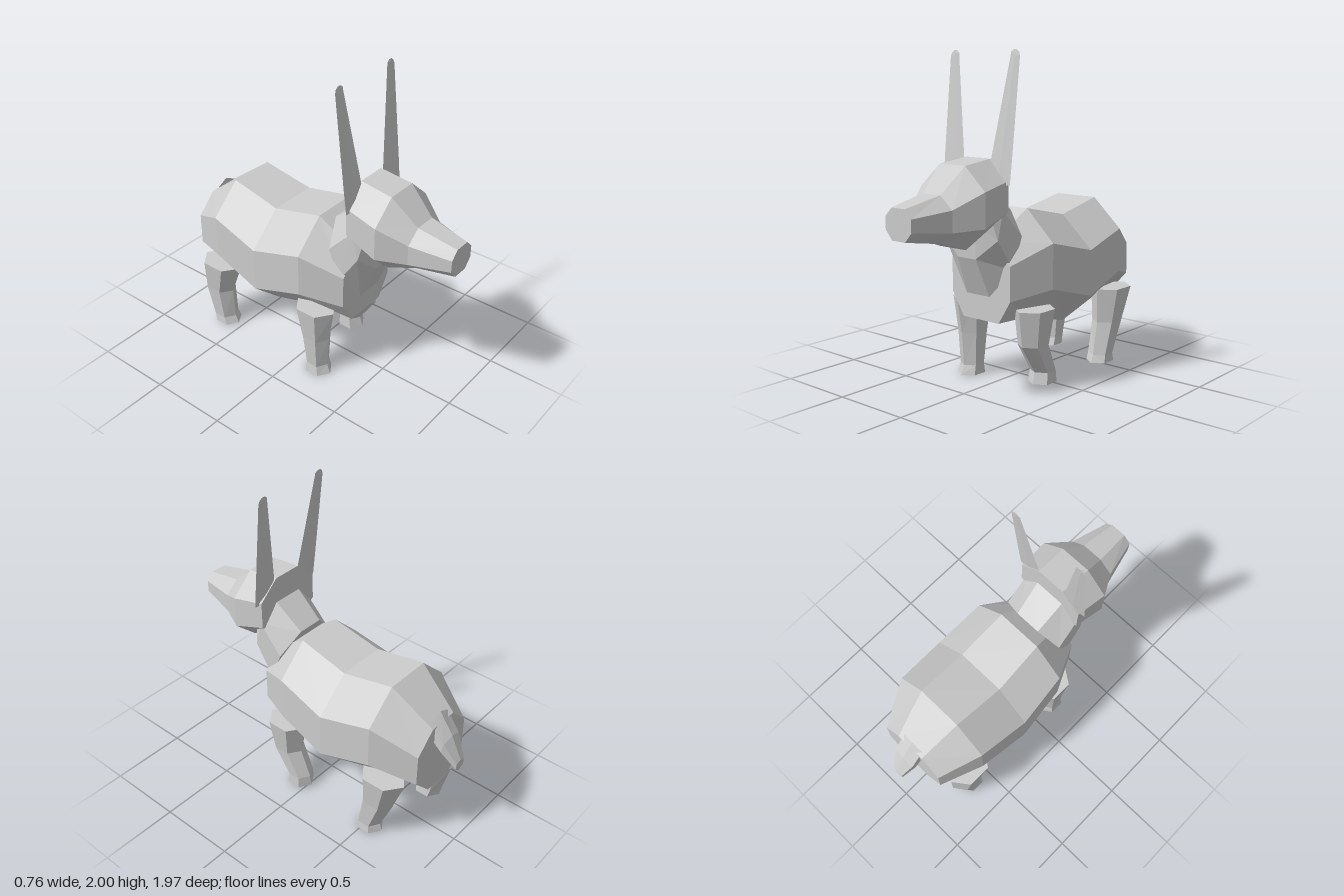
import * as THREE from 'three';

const hide = new THREE.MeshStandardMaterial({ color: 0xcccccc, flatShading: true });
hide.name = 'light grey hide';

// Closed skin over a list of rings (each a loop of [x, y, z]), capped at both ends
function loft(name, rings) {
  const tris = [];
  const n = rings[0].length;
  for (let r = 0; r < rings.length - 1; r++) {
    for (let i = 0; i < n; i++) {
      const j = (i + 1) % n;
      const a = rings[r][i], b = rings[r][j], c = rings[r + 1][j], d = rings[r + 1][i];
      tris.push([a, b, c], [a, c, d]);
    }
  }
  const first = rings[0], last = rings[rings.length - 1];
  for (let i = 1; i < n - 1; i++) {
    tris.push([first[0], first[i + 1], first[i]], [last[0], last[i], last[i + 1]]);
  }
  // Turn all faces outward if the enclosed volume comes out negative
  const v = (p) => new THREE.Vector3(...p);
  const volume = tris.reduce((s, [a, b, c]) => s + v(a).dot(v(b).cross(v(c))), 0);
  if (volume < 0) tris.forEach((t) => t.reverse());
  const geometry = new THREE.BufferGeometry();
  geometry.setAttribute('position', new THREE.Float32BufferAttribute(tris.flat(2), 3));
  geometry.computeVertexNormals();
  const mesh = new THREE.Mesh(geometry, hide);
  mesh.name = name;
  return mesh;
}

// Eight-sided symmetric ring; the plane leans from z at the top to zb at the bottom
function octagon({ z, zb = z, y, w }) {
  const [top, upper, lower, bottom] = y;
  const [wTop, wSide, wBottom] = w;
  const at = (x, h) => [x, h, z + (zb - z) * (top - h) / (top - bottom)];
  return [
    at(wTop, top), at(wSide, upper), at(wSide, lower), at(wBottom, bottom),
    at(-wBottom, bottom), at(-wSide, lower), at(-wSide, upper), at(-wTop, top),
  ];
}

// Six-sided horizontal ring with points at front and back
function legRing([y, zFront, zBack, xIn, xOut], side) {
  const zm = (zFront + zBack) / 2, h = (zFront - zBack) / 4, xm = (xIn + xOut) / 2;
  return [
    [xm, y, zFront], [xOut, y, zm + h], [xOut, y, zm - h],
    [xm, y, zBack], [xIn, y, zm - h], [xIn, y, zm + h],
  ].map(([x, a, b]) => [x * side, a, b]);
}

export function createModel() {
  const model = new THREE.Group();
  model.name = 'animal';

  // Barrel body with a sagging back
  model.add(loft('body', [
    { z: 0.347, y: [0.9, 0.77, 0.56, 0.417], w: [0.11, 0.23, 0.14] },
    { z: 0.1, y: [1.075, 0.885, 0.61, 0.41], w: [0.15, 0.35, 0.15] },
    { z: -0.235, y: [1.0, 0.8, 0.515, 0.32], w: [0.16, 0.378, 0.16] },
    { z: -0.58, y: [1.07, 0.885, 0.61, 0.41], w: [0.15, 0.35, 0.15] },
    { z: -0.845, y: [0.87, 0.74, 0.535, 0.4], w: [0.1, 0.23, 0.1] },
  ].map(octagon)));

  // Leaning neck
  model.add(loft('neck', [
    { z: 0.175, zb: 0.37, y: [1.07, 0.93, 0.74, 0.575], w: [0.085, 0.22, 0.09] },
    { z: 0.36, zb: 0.465, y: [1.215, 1.1, 0.93, 0.81], w: [0.1, 0.215, 0.07] },
    { z: 0.42, zb: 0.475, y: [1.25, 1.2, 1.08, 1.02], w: [0.08, 0.18, 0.08] },
  ].map(octagon)));

  // Head tapering to the snout
  model.add(loft('head', [
    { z: 0.36, y: [1.385, 1.265, 1.09, 0.99], w: [0.095, 0.23, 0.09] },
    { z: 0.575, y: [1.36, 1.225, 1.02, 0.885], w: [0.1, 0.25, 0.1] },
    { z: 0.74, y: [1.21, 1.135, 1.01, 0.94], w: [0.07, 0.16, 0.07] },
    { z: 0.988, y: [1.16, 1.11, 1.035, 0.98], w: [0.05, 0.1, 0.05] },
  ].map(octagon)));

  // Tall sharp-edged ears leaning back: height, inner x, outer x, half thickness
  const earRows = [
    [1.245, 0.08, 0.26, 0.008], [1.38, 0.105, 0.263, 0.009],
    [1.965, 0.199, 0.268, 0.005], [1.985, 0.201, 0.26, 0.004], [2.0, 0.22, 0.242, 0.003],
  ];
  for (const side of [1, -1]) {
    model.add(loft(side > 0 ? 'leftEar' : 'rightEar', earRows.map(([y, xIn, xOut, t]) => {
      const z = 0.382 - 0.11 * (y - 1.25), xm = (xIn + xOut) / 2;
      return [[xOut * side, y, z], [xm * side, y, z + t], [xIn * side, y, z], [xm * side, y, z - t]];
    })));
  }

  // Legs: each row is height, front z, back z, inner x, outer x
  const legs = {
    leftFrontLeg: [1, [
      [0.49, 0.29, 0.01, 0.15, 0.35], [0.27, 0.255, 0.05, 0.165, 0.32],
      [0.09, 0.135, -0.02, 0.17, 0.31], [0.02, 0.155, -0.03, 0.165, 0.315]]],
    rightFrontLeg: [-1, [
      [0.49, 0.29, 0.01, 0.15, 0.35], [0.27, 0.255, 0.06, 0.17, 0.325],
      [0.06, 0.24, 0.09, 0.18, 0.31], [0, 0.265, 0.075, 0.175, 0.32]]],
    leftBackLeg: [1, [
      [0.49, -0.475, -0.78, 0.155, 0.36], [0.27, -0.485, -0.7, 0.175, 0.33],
      [0.06, -0.45, -0.61, 0.18, 0.315], [0.01, -0.43, -0.625, 0.175, 0.32]]],
    rightBackLeg: [-1, [
      [0.49, -0.475, -0.78, 0.155, 0.36], [0.27, -0.56, -0.775, 0.175, 0.33],
      [0.06, -0.555, -0.72, 0.18, 0.315], [0.01, -0.53, -0.71, 0.175, 0.32]]],
  };
  for (const [name, [side, rows]] of Object.entries(legs)) {
    model.add(loft(name, rows.map((row) => legRing(row, side))));
  }

  // Short drooping tail with a shallow ridge: top y/z, bottom y/z, half width
  model.add(loft('tail', [
    [0.93, -0.82, 0.72, -0.8, 0.08],
    [0.8, -0.915, 0.66, -0.88, 0.075],
    [0.655, -0.985, 0.57, -0.98, 0.038],
  ].map(([yt, zt, yb, zb, w]) => {
    const at = (x, t) => [x, yt + (yb - yt) * t, zt + (zb - zt) * t];
    return [at(0, 0), at(w, 0.18), at(w, 0.65), at(0, 1), at(-w, 0.65), at(-w, 0.18)];
  })));

  return model;
}
